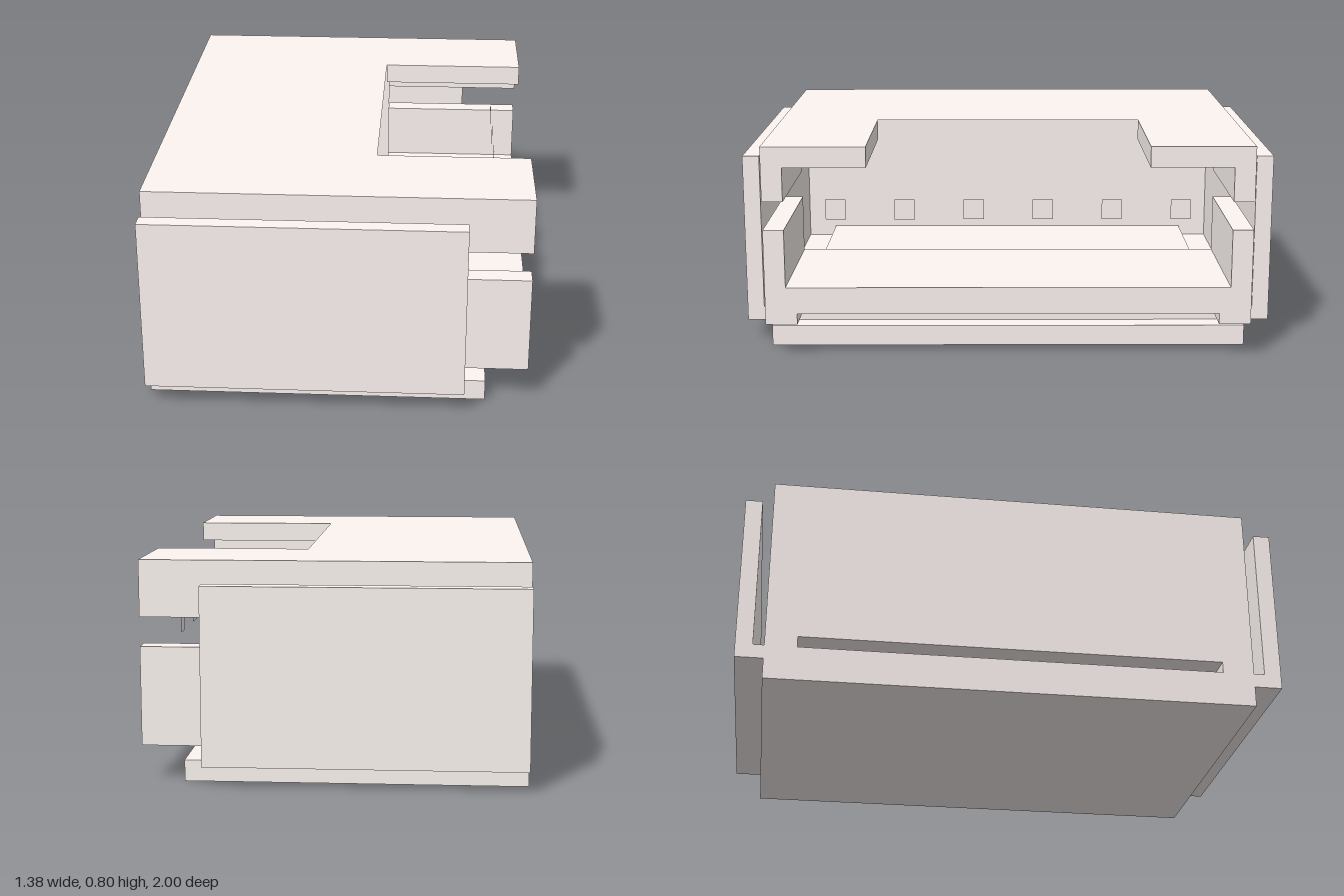
import * as THREE from 'three';
import { mergeGeometries } from 'three/addons/utils/BufferGeometryUtils.js';

// Warm off-white plastic
const material = new THREE.MeshStandardMaterial({ color: 0xfdf5f2, side: THREE.DoubleSide, flatShading: true });

// End face of a [z, y] profile, lying at x and facing dir (+1 or -1)
function endFace(profile, x, dir) {
  const shape = new THREE.Shape(profile.map(([z, y]) => new THREE.Vector2(-dir * z, y)));
  return new THREE.ShapeGeometry(shape).rotateY(dir * Math.PI / 2).translate(x, 0, 0).toNonIndexed();
}

// Walls swept along x from a [z, y] profile, with optional end faces
function sweep(name, profile, x0, x1, backCap, frontCap) {
  const pos = [], uv = [];
  profile.forEach(([z, y], i) => {
    const [z2, y2] = profile[(i + 1) % profile.length];
    pos.push(x0, y, z, x1, y, z, x1, y2, z2, x0, y, z, x1, y2, z2, x0, y2, z2);
    uv.push(0, 0, 1, 0, 1, 1, 0, 0, 1, 1, 0, 1);
  });
  const walls = new THREE.BufferGeometry();
  walls.setAttribute('position', new THREE.Float32BufferAttribute(pos, 3));
  walls.setAttribute('uv', new THREE.Float32BufferAttribute(uv, 2));
  walls.computeVertexNormals();
  const parts = [walls];
  if (backCap) parts.push(endFace(profile, x0, -1));
  if (frontCap) parts.push(endFace(profile, x1, 1));
  const mesh = new THREE.Mesh(mergeGeometries(parts), material);
  mesh.name = name;
  return mesh;
}

const mirror = (profile) => profile.map(([z, y]) => [-z, y]).reverse();

export function createModel() {
  const model = new THREE.Group();
  model.name = 'connector';
  const back = -0.69, mouth = 0.125, front = 0.69;
  const side = 0.897, top = 0.797, slab = 0.077, foot = 0.129;

  // Underside shared by the housing sections: two feet with a slot between
  const underside = [[-side, foot], [-0.78, foot], [-0.78, 0.17], [0.78, 0.17], [0.78, foot], [side, foot]];

  // Hollow rear housing, open towards the mouth
  model.add(sweep('rearHousing', [...underside, [side, top], [-side, top]], back, mouth, true, false));

  // Floor and low side walls of the mouth
  model.add(sweep('mouthTray', [...underside,
    [side, 0.487], [0.82, 0.487], [0.82, 0.27], [-0.82, 0.27], [-0.82, 0.487], [-side, 0.487]], mouth, front, false, true));

  // Upper corner arms either side of the roof cutout
  const arm = [[0.515, 0.72], [0.82, 0.72], [0.82, 0.593], [side, 0.593], [side, top], [0.515, top]];
  model.add(sweep('upperArmLeft', arm, mouth, front, false, true));
  model.add(sweep('upperArmRight', mirror(arm), mouth, front, false, true));

  // U-shaped bracket wrapping the housing
  model.add(sweep('sideBracket', [[-1, slab], [1, slab], [1, 0.718], [0.937, 0.718], [0.937, foot],
    [-0.937, foot], [-0.937, 0.718], [-1, 0.718]], back, 0.46, true, true));

  // Base slab
  model.add(sweep('baseSlab', [[-side, 0], [side, 0], [side, slab], [-side, slab]], back, 0.537, true, true));

  // Contact pin tips
  const pins = new THREE.Group();
  pins.name = 'contactPins';
  for (let i = 0; i < 6; i++) {
    const tip = new THREE.Mesh(new THREE.PlaneGeometry(0.075, 0.075), material);
    tip.name = 'pinTip';
    tip.rotation.y = Math.PI / 2;
    tip.position.set(0.58, 0.54, (i - 2.5) * 0.256);
    pins.add(tip);
  }
  model.add(pins);
  return model;
}
